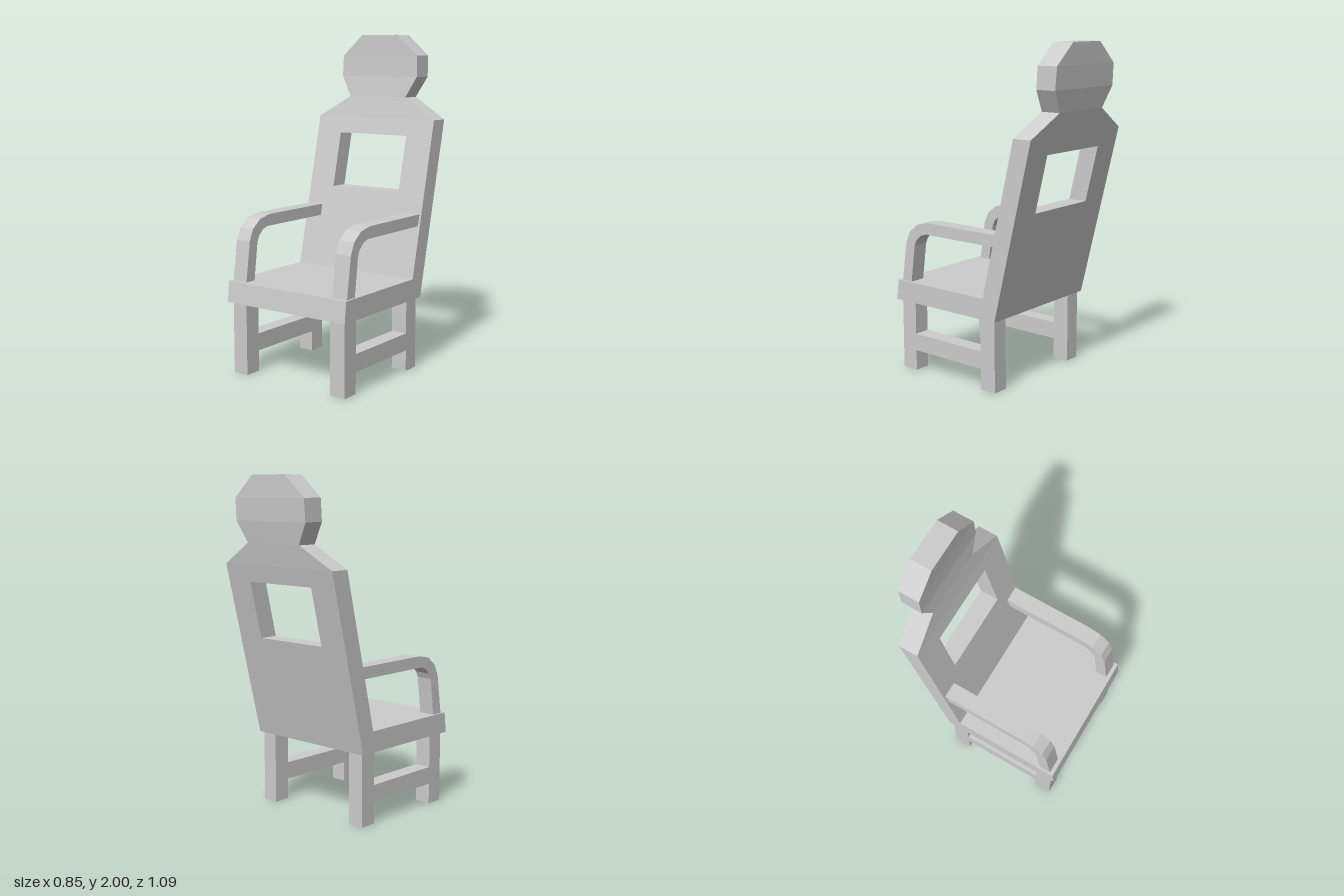
import * as THREE from 'three';

const material = new THREE.MeshStandardMaterial({ color: 0xcccccc, flatShading: true });

const toShape = (pts) => new THREE.Shape(pts.map(([a, b]) => new THREE.Vector2(a, b)));

// Side profile given as [z, y], extruded across x and centred on the given x.
function sidePart(name, profile, width, x = 0) {
  const geo = new THREE.ExtrudeGeometry(toShape(profile), { depth: width, bevelEnabled: false });
  geo.translate(0, 0, -width / 2).rotateY(-Math.PI / 2);
  const mesh = new THREE.Mesh(geo, material);
  mesh.name = name;
  mesh.position.x = x;
  return mesh;
}

// Backrest levels: [y, half width, front z, back z]
const levels = [
  [0.433, 0.427, -0.115, -0.23],
  [1.49, 0.427, -0.365, -0.485],
  [1.62, 0.205, -0.39, -0.512],
  [1.745, 0.277, -0.406, -0.533],
  [1.875, 0.273, -0.411, -0.541],
  [2.0, 0.13, -0.412, -0.543],
];

// One band of the backrest, leaning between two levels.
function backBand(name, low, high, hole) {
  const [y0, w0, f0, b0] = low;
  const [y1, w1, f1, b1] = high;
  const shape = toShape([[-w0, y0], [w0, y0], [w1, y1], [-w1, y1]]);
  if (hole) shape.holes.push(toShape(hole));
  const geo = new THREE.ExtrudeGeometry(shape, { depth: 1, bevelEnabled: false });
  const pos = geo.attributes.position;
  for (let i = 0; i < pos.count; i++) {
    const t = (pos.getY(i) - y0) / (y1 - y0);
    const front = THREE.MathUtils.lerp(f0, f1, t);
    const back = THREE.MathUtils.lerp(b0, b1, t);
    pos.setZ(i, THREE.MathUtils.lerp(back, front, pos.getZ(i)));
  }
  geo.computeVertexNormals();
  const mesh = new THREE.Mesh(geo, material);
  mesh.name = name;
  return mesh;
}

export function createModel() {
  const chair = new THREE.Group();
  chair.name = 'chair';

  // Seat slab with a slanted front edge, meeting the leaning back
  chair.add(sidePart('seat', [[-0.115, 0.433], [0.543, 0.433], [0.528, 0.558], [-0.145, 0.558]], 0.854));

  // Backrest with window, shoulders and headrest
  const backrest = new THREE.Group();
  backrest.name = 'backrest';
  const opening = [[-0.246, 1.053], [-0.246, 1.39], [0.246, 1.39], [0.246, 1.053]];
  const names = ['backPanel', 'shoulders', 'headrestLower', 'headrestMiddle', 'headrestTop'];
  names.forEach((name, i) => backrest.add(backBand(name, levels[i], levels[i + 1], i === 0 ? opening : null)));
  chair.add(backrest);

  // Curved armrest profile and H-shaped leg frame profile
  const arm = [
    [0.43, 0.558], [0.503, 0.558], [0.468, 0.797], [0.437, 0.868], [0.372, 0.919], [0.287, 0.937],
    [-0.235, 0.937], [-0.218, 0.867], [0.304, 0.867], [0.347, 0.854], [0.384, 0.82], [0.4, 0.785],
  ];
  const legs = [
    [-0.215, 0], [-0.11, 0], [-0.11, 0.126], [0.408, 0.126], [0.408, 0], [0.514, 0],
    [0.514, 0.433], [0.408, 0.433], [0.408, 0.231], [-0.11, 0.231], [-0.11, 0.433], [-0.215, 0.433],
  ];
  for (const [side, s] of [['left', 1], ['right', -1]]) {
    chair.add(sidePart(side + 'Armrest', arm, 0.1, s * 0.364));
    chair.add(sidePart(side + 'LegFrame', legs, 0.1, s * 0.356));
  }
  return chair;
}
